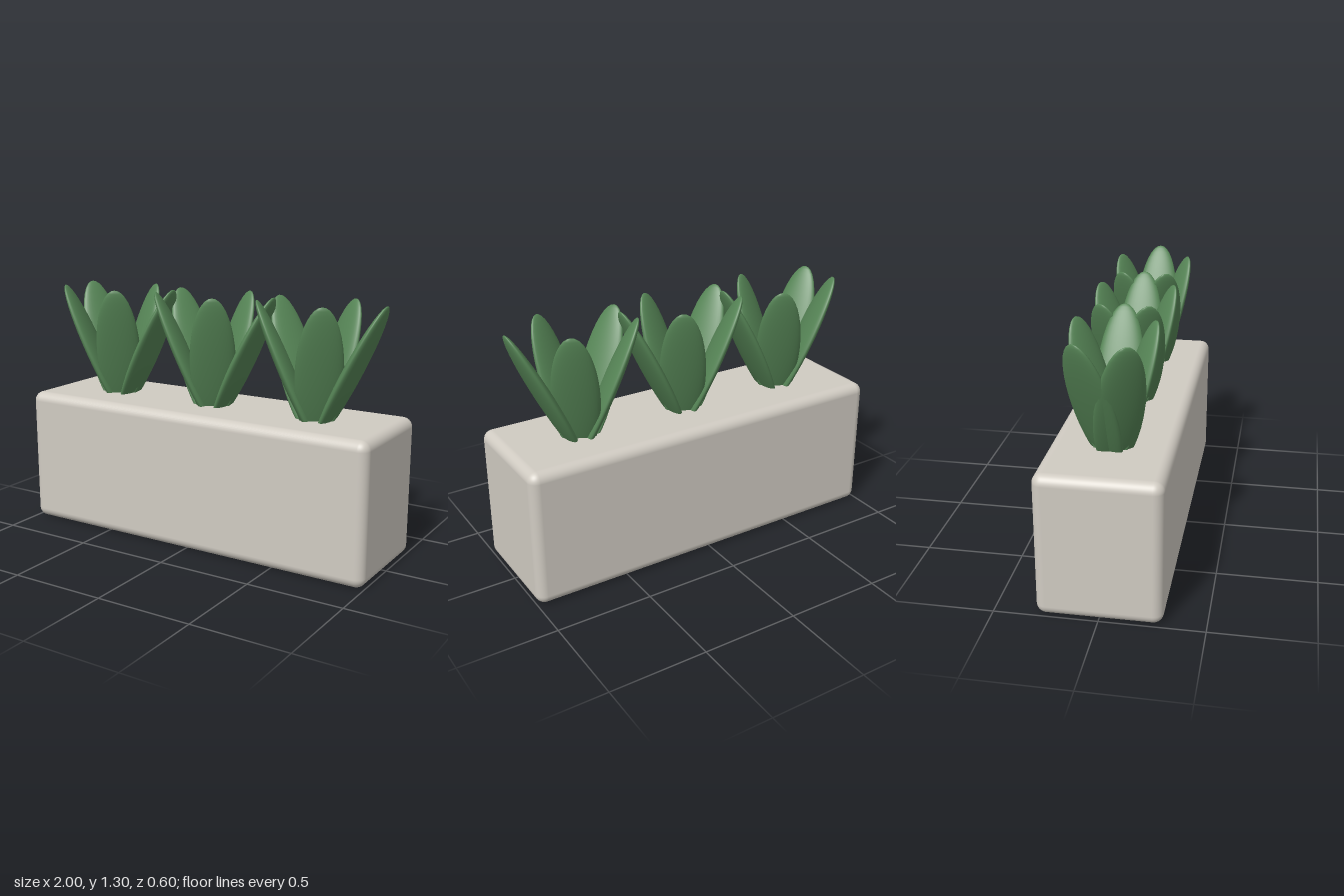
import * as THREE from 'three';
import { RoundedBoxGeometry } from 'three/addons/geometries/RoundedBoxGeometry.js';

const stone = new THREE.MeshStandardMaterial({ name: 'warm grey stone', color: 0xd0cbc2 });
const green = new THREE.MeshStandardMaterial({ name: 'leaf green', color: 0x568556 });

// Flattened ellipsoid running from base to tip, its flat side facing outward
function makeLeaf(base, tip) {
  const axis = tip.clone().sub(base);
  const halfLength = axis.length() / 2;
  const up = axis.clone().normalize();
  const across = new THREE.Vector3(-axis.z, 0, axis.x).normalize();
  const outward = up.clone().cross(across);

  const leaf = new THREE.Mesh(new THREE.SphereGeometry(1, 32, 20), green);
  leaf.name = 'leaf';
  leaf.position.copy(base).add(tip).multiplyScalar(0.5);
  leaf.quaternion.setFromRotationMatrix(new THREE.Matrix4().makeBasis(outward, up, across));
  leaf.scale.set(0.035, halfLength, 0.118);
  return leaf;
}

// Five leaves fanning out from one root, spread less in depth than in width
function makePlant(x) {
  const plant = new THREE.Group();
  plant.name = 'plant';
  plant.position.x = x;
  const base = new THREE.Vector3(0, 0.6, 0);
  for (let i = 0; i < 5; i++) {
    const a = (i / 5) * Math.PI * 2;
    const tip = new THREE.Vector3(0.35 * Math.cos(a), 1.3, 0.2 * Math.sin(a));
    plant.add(makeLeaf(base, tip));
  }
  return plant;
}

export function createModel() {
  const model = new THREE.Group();
  model.name = 'planter';

  // Planter box with soft edges
  const box = new THREE.Mesh(new RoundedBoxGeometry(2, 0.72, 0.6, 5, 0.05), stone);
  box.name = 'planterBox';
  box.position.y = 0.36;
  model.add(box);

  // Row of plants
  for (const x of [-0.6, 0, 0.6]) model.add(makePlant(x));
  return model;
}
